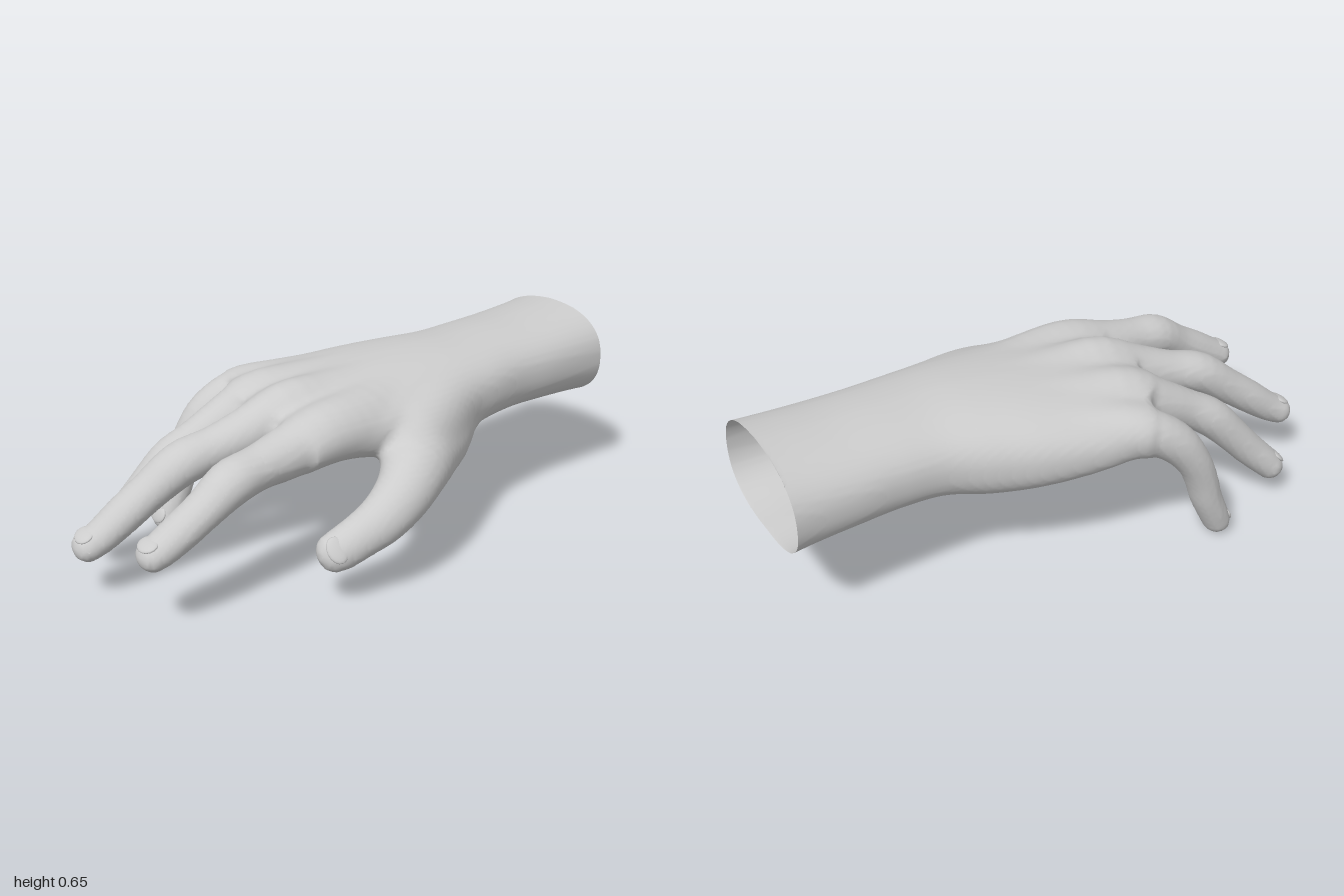
import * as THREE from 'three';

const V = (x, y, z) => new THREE.Vector3(x, y, z);
const material = new THREE.MeshStandardMaterial({ color: 0xcccccc, side: THREE.DoubleSide });

// Palm and forearm sections every 0.15 along x from 1.05: [z min, z max, y min, y max]
const PALM = [
  [-0.315, 0.21, 0.31, 0.655], [-0.3, 0.212, 0.323, 0.645], [-0.29, 0.216, 0.333, 0.637],
  [-0.28, 0.22, 0.337, 0.635], [-0.285, 0.24, 0.33, 0.632], [-0.33, 0.262, 0.303, 0.632],
  [-0.38, 0.28, 0.303, 0.625], [-0.415, 0.288, 0.32, 0.612], [-0.435, 0.276, 0.35, 0.596],
  [-0.435, 0.255, 0.38, 0.565], [-0.42, 0.24, 0.4, 0.5]
];

// Digits from the tendon through the joints to the tip: [x, y, z, radius]
const DIGITS = {
  indexFinger: [
    [0.1, 0.53, 0.11, 0.05], [-0.1, 0.512, 0.155, 0.082], [-0.25, 0.5, 0.168, 0.092], [-0.4, 0.465, 0.168, 0.083],
    [-0.52, 0.45, 0.178, 0.07], [-0.62, 0.432, 0.185, 0.072], [-0.72, 0.375, 0.188, 0.061],
    [-0.81, 0.325, 0.188, 0.058], [-0.88, 0.285, 0.183, 0.053], [-0.908, 0.272, 0.18, 0.049]
  ],
  middleFinger: [
    [0.1, 0.545, 0, 0.05], [-0.1, 0.538, -0.005, 0.072], [-0.25, 0.53, -0.015, 0.087], [-0.4, 0.475, -0.037, 0.079],
    [-0.52, 0.44, -0.06, 0.069], [-0.63, 0.41, -0.08, 0.071], [-0.74, 0.335, -0.105, 0.062],
    [-0.83, 0.27, -0.122, 0.059], [-0.91, 0.211, -0.138, 0.053], [-0.95, 0.188, -0.148, 0.049]
  ],
  ringFinger: [
    [0.1, 0.535, -0.12, 0.05], [-0.1, 0.526, -0.17, 0.068], [-0.24, 0.512, -0.2, 0.083], [-0.37, 0.45, -0.225, 0.075],
    [-0.47, 0.4, -0.242, 0.065], [-0.56, 0.345, -0.262, 0.067], [-0.64, 0.262, -0.286, 0.06],
    [-0.7, 0.195, -0.302, 0.057], [-0.76, 0.135, -0.322, 0.053], [-0.782, 0.112, -0.33, 0.05]
  ],
  littleFinger: [
    [0.1, 0.505, -0.25, 0.045], [-0.08, 0.495, -0.32, 0.062], [-0.2, 0.475, -0.37, 0.074], [-0.31, 0.41, -0.405, 0.07],
    [-0.375, 0.325, -0.425, 0.059], [-0.41, 0.245, -0.428, 0.055], [-0.435, 0.165, -0.428, 0.053],
    [-0.47, 0.085, -0.428, 0.05], [-0.486, 0.047, -0.427, 0.047]
  ],
  thumb: [
    [0.42, 0.45, 0.05, 0.07], [0.25, 0.385, 0.155, 0.125], [0.1, 0.367, 0.255, 0.12], [0, 0.357, 0.333, 0.104],
    [-0.1, 0.315, 0.388, 0.086], [-0.2, 0.266, 0.408, 0.073], [-0.28, 0.224, 0.393, 0.063],
    [-0.345, 0.193, 0.378, 0.058], [-0.37, 0.186, 0.373, 0.053]
  ],
  thumbWeb: [
    [0.36, 0.49, 0.14, 0.08], [0.2, 0.47, 0.21, 0.088], [0.08, 0.448, 0.262, 0.078], [0.02, 0.43, 0.283, 0.058]
  ]
};

// Smooth curve through a digit with radius, frame and a broadening towards the tip
function digitCurve(name) {
  const rows = DIGITS[name];
  const back = name.startsWith('thumb') ? V(-0.3, 0.6, 0.8) : V(-0.6, 1, 0);
  const path = new THREE.CatmullRomCurve3(rows.map(r => V(r[0], r[1], r[2])));
  const radius = new THREE.SplineCurve(rows.map(r => new THREE.Vector2(r[3], 0)));
  return t => {
    const tangent = path.getTangent(t);
    const dorsal = back.clone().addScaledVector(tangent, -back.dot(tangent)).normalize();
    return {
      p: path.getPoint(t), r: radius.getPoint(t).x, broad: 1 + 0.2 * t,
      tangent, dorsal, side: dorsal.clone().cross(tangent)
    };
  };
}

// Distance to a digit: a chain of tapered capsules, wider than deep
function digitDistance(name) {
  const at = digitCurve(name), steps = 30;
  const pts = Array.from({ length: steps + 1 }, (_, i) => at(i / steps));
  const reach = new THREE.Box3().setFromPoints(pts.map(q => q.p)).expandByScalar(0.18);
  return point => {
    if (!reach.containsPoint(point)) return 1;
    let best = 1;
    for (let i = 0; i < steps; i++) {
      const a = pts[i].p, b = pts[i + 1].p, { side, broad } = pts[i];
      const bx = b.x - a.x, by = b.y - a.y, bz = b.z - a.z;
      const px = point.x - a.x, py = point.y - a.y, pz = point.z - a.z;
      const h = Math.min(1, Math.max(0, (px * bx + py * by + pz * bz) / (bx * bx + by * by + bz * bz)));
      const ex = px - bx * h, ey = py - by * h, ez = pz - bz * h;
      const s = ex * side.x + ey * side.y + ez * side.z;
      const d = Math.sqrt(Math.max(0, ex * ex + ey * ey + ez * ez - s * s * (1 - 1 / (broad * broad))));
      best = Math.min(best, d - pts[i].r - (pts[i + 1].r - pts[i].r) * h);
    }
    return best;
  };
}

// Distance to the palm: rounded sections, hollow below, ending at the webs
const zSpan = new THREE.SplineCurve(PALM.map(r => new THREE.Vector2(r[0], r[1])));
const ySpan = new THREE.SplineCurve(PALM.map(r => new THREE.Vector2(r[2], r[3])));
function palmSection(x) {
  const t = THREE.MathUtils.clamp((1.05 - x) / 1.5, 0, 1);
  return { z: zSpan.getPoint(t), y: ySpan.getPoint(t), hand: THREE.MathUtils.smoothstep(-x, -0.3, 0.3) };
}
function palmDistance(s, p) {
  const hz = (s.z.y - s.z.x) / 2, hy = (s.y.y - s.y.x) / 2;
  const u = (p.z - (s.z.x + s.z.y) / 2) / hz;
  let v = (p.y - (s.y.x + s.y.y) / 2 - 0.02 * Math.max(-1, Math.min(0, u))) / hy;
  if (v < 0) v *= 1 + 0.25 * s.hand * Math.max(0, 1 - u * u);
  const side = ((Math.abs(u) ** 2.4 + Math.abs(v) ** 2.4) ** (1 / 2.4) - 1) * hy;
  return Math.max(side, -p.x - 0.345 + 0.65 * Math.max(0, -p.z - 0.2));
}

const blend = (a, b, k) => Math.min(a, b) - Math.max(k - Math.abs(a - b), 0) ** 2 / (4 * k);
const wristCut = z => 0.99 + 0.048 * z;

// One continuous skin over palm and digits, divided into a mesh per part
function buildSkin(group) {
  const names = Object.keys(DIGITS), digits = names.map(digitDistance);
  const step = 0.0145, origin = V(-1.03, -0.03, -0.53), n = [144, 50, 74];
  const stride = [n[1] * n[2], n[2], 1];
  const field = new Float32Array(n[0] * n[1] * n[2]), owner = new Uint8Array(field.length);
  const p = V(0, 0, 0);
  for (let i = 0, c = 0; i < n[0]; i++) {
    const section = palmSection(origin.x + i * step);
    for (let j = 0; j < n[1]; j++) for (let k = 0; k < n[2]; k++, c++) {
      p.set(i, j, k).multiplyScalar(step).add(origin);
      let d = palmDistance(section, p), nearest = d - 0.02;
      digits.forEach((digit, m) => {
        const e = digit(p);
        d = blend(d, e, 0.035);
        if (e < nearest) { nearest = e; owner[c] = m + 1; }
      });
      field[c] = d;
    }
  }

  // A vertex in every cell the surface crosses, at the mean of its edge crossings
  const vertexOf = new Int32Array(field.length).fill(-1), pos = [], parts = [];
  const corners = Array.from({ length: 8 }, (_, b) => [b >> 2, (b >> 1) & 1, b & 1]);
  for (let i = 0; i < n[0] - 1; i++) for (let j = 0; j < n[1] - 1; j++) for (let k = 0; k < n[2] - 1; k++) {
    const c = i * stride[0] + j * stride[1] + k;
    const f = corners.map(o => field[c + o[0] * stride[0] + o[1] * stride[1] + o[2]]);
    const sum = [0, 0, 0];
    let count = 0;
    for (let a = 0; a < 8; a++) for (const bit of [1, 2, 4]) {
      const b = a | bit;
      if (b === a || (f[a] < 0) === (f[b] < 0)) continue;
      const t = f[a] / (f[a] - f[b]);
      for (let m = 0; m < 3; m++) sum[m] += corners[a][m] + t * (corners[b][m] - corners[a][m]);
      count++;
    }
    if (!count) continue;
    vertexOf[c] = parts.length;
    parts.push(owner[c]);
    p.set(i + sum[0] / count, j + sum[1] / count, k + sum[2] / count).multiplyScalar(step).add(origin);
    pos.push(Math.min(p.x, wristCut(p.z)), p.y, p.z);
  }

  // A quad around every crossed grid edge; the wrist stays open
  const faces = [[], ...names.map(() => [])];
  const beyond = v => pos[v * 3] >= wristCut(pos[v * 3 + 2]) - 1e-6;
  for (let c = stride[0] + stride[1] + 1; c < field.length - stride[0]; c++) for (let axis = 0; axis < 3; axis++) {
    if ((field[c] < 0) === (field[c + stride[axis]] < 0)) continue;
    const u = stride[(axis + 1) % 3], w = stride[(axis + 2) % 3];
    const q = [c - u - w, c - w, c, c - u].map(cell => vertexOf[cell]);
    if (q.some(v => v < 0) || q.every(beyond)) continue;
    if (field[c] >= 0) q.reverse();
    faces[parts[q[0]]].push(q[0], q[1], q[2], q[0], q[2], q[3]);
  }
  const whole = new THREE.BufferGeometry();
  whole.setAttribute('position', new THREE.Float32BufferAttribute(pos, 3));
  whole.setIndex(faces.flat());
  whole.computeVertexNormals();
  ['wristAndPalm', ...names].forEach((name, m) => {
    if (!faces[m].length) return;
    const g = whole.clone().setIndex(faces[m]);
    const mesh = new THREE.Mesh(g, material);
    mesh.name = name;
    group.add(mesh);
  });
}

// Nail: a thin domed plate set in the back of a fingertip
function nail(name) {
  const { p, r, broad, tangent, dorsal, side } = digitCurve(name)(0.95);
  const mesh = new THREE.Mesh(new THREE.SphereGeometry(1, 16, 10), material);
  mesh.name = name + 'Nail';
  mesh.quaternion.setFromRotationMatrix(new THREE.Matrix4().makeBasis(side, dorsal, tangent));
  mesh.position.copy(p).addScaledVector(dorsal, r * 0.84).addScaledVector(tangent, 0.008);
  mesh.scale.set(r * broad * 0.7, r * 0.2, 0.034);
  return mesh;
}

export function createModel() {
  const hand = new THREE.Group();
  hand.name = 'hand';
  buildSkin(hand);
  for (const name of Object.keys(DIGITS)) if (name !== 'thumbWeb') hand.add(nail(name));
  return hand;
}
